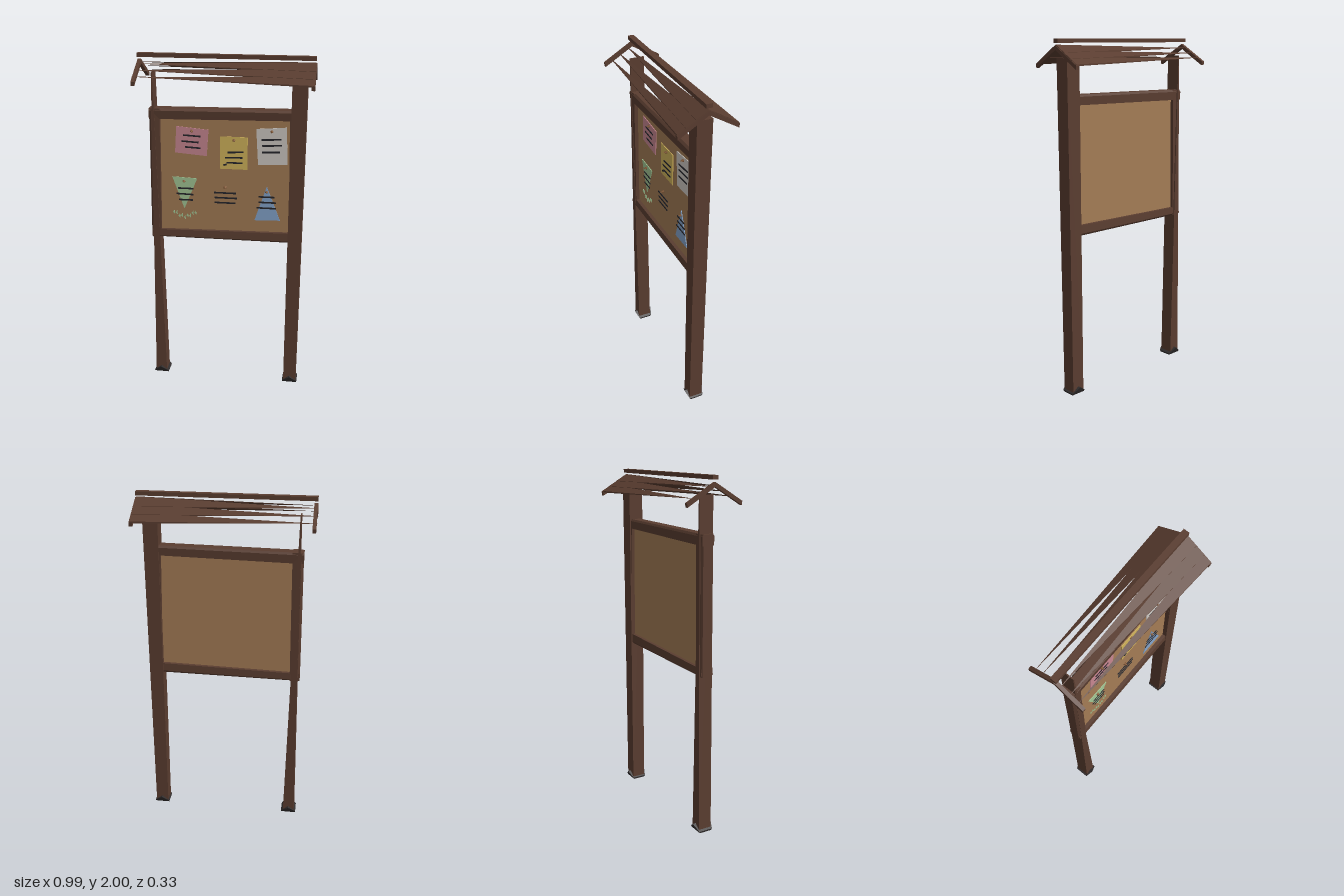
import * as THREE from 'three';
import { ConvexGeometry } from 'three/addons/geometries/ConvexGeometry.js';

const mat = (name, color, side = THREE.FrontSide) => {
  const m = new THREE.MeshStandardMaterial({ color, side });
  m.name = name;
  return m;
};

export function createModel() {
  const root = new THREE.Group();
  root.name = 'noticeBoard';
  const wood = mat('darkWood', 0x5a3d30);
  const cork = mat('cork', 0xa47c55);
  const iron = mat('darkIron', 0x322e2e);
  const pink = mat('pinkPaper', 0xc98791);
  const yellow = mat('yellowPaper', 0xd2b45c);
  const white = mat('whitePaper', 0xcfcac4);
  const green = mat('greenPaper', 0xa3c795);
  const blue = mat('bluePaper', 0x85a5cc);
  const ink = mat('ink', 0x24242a);
  const copper = mat('copperPin', 0x8a5f3c);

  const add = (name, geo, material, parent = root) => {
    const mesh = new THREE.Mesh(geo, material);
    mesh.name = name;
    parent.add(mesh);
    return mesh;
  };
  const group = (name) => {
    const g = new THREE.Group();
    g.name = name;
    root.add(g);
    return g;
  };
  // Flat-faced solid around a few corner points
  const hull = (name, points, material, parent) =>
    add(name, new ConvexGeometry(points.map((p) => new THREE.Vector3(...p))), material, parent);
  // Rectangle of corners at height y
  const ring = (x0, x1, y, z) => [[x0, y, -z], [x1, y, -z], [x1, y, z], [x0, y, z]];

  // Posts: the right one tapers to a thin blade, the left one stays square
  hull('rightPost', [...ring(-0.44, -0.372, 0.01, 0.04), ...ring(-0.408, -0.402, 1.9, 0.042)], wood);
  hull('leftPost', [...ring(0.37, 0.445, 0.01, 0.04), ...ring(0.368, 0.452, 1.9, 0.043)], wood);

  // Pointed iron shoes under the posts
  for (const [name, x] of [['rightShoe', -0.405], ['leftShoe', 0.408]]) {
    hull(name, [
      ...ring(x - 0.043, x + 0.043, 0, 0.038),
      ...ring(x - 0.045, x + 0.045, 0.01, 0.043),
      [x, 0.045, 0.06], [x, 0.045, -0.06],
    ], iron);
  }

  // Cork panel
  add('corkPanel', new THREE.BoxGeometry(0.78, 0.7, 0.03), cork).position.set(-0.005, 1.315, 0);

  // Frame bars, chamfered on the outer edges; inner and outer lines are slightly uneven
  const frame = group('frame');
  const section = (inner, outer, place) => {
    const c = outer + (inner - outer) * 0.2;
    return [[inner, 0.036], [c, 0.04], [outer, 0.028], [outer, -0.028], [c, -0.036], [inner, -0.034]]
      .map(([v, z]) => place(v, z));
  };
  const rail = (name, x0, in0, out0, x1, in1, out1) => hull(name, [
    ...section(in0, out0, (v, z) => [x0, v, z]),
    ...section(in1, out1, (v, z) => [x1, v, z]),
  ], wood, frame);
  const stile = (name, y0, in0, out0, y1, in1, out1) => hull(name, [
    ...section(in0, out0, (v, z) => [v, y0, z]),
    ...section(in1, out1, (v, z) => [v, y1, z]),
  ], wood, frame);
  rail('topRail', -0.43, 1.64, 1.7, 0.44, 1.655, 1.71);
  rail('bottomRail', -0.435, 0.977, 0.93, 0.44, 0.995, 0.935);
  stile('rightStile', 0.93, -0.38, -0.437, 1.7, -0.368, -0.428);
  stile('leftStile', 0.935, 0.375, 0.437, 1.7, 0.36, 0.442);

  // Roof: wedge-shaped planks on both slopes
  const roof = group('roof');
  const slopeY = (z) => 1.965 - 0.56 * Math.abs(z);
  const planks = [[0.13, 0.102, 0.164], [0.082, 0.049, 0.12], [0.031, 0, 0.068]];
  for (const side of [1, -1]) {
    planks.forEach(([tip, inner, outer], i) => {
      const lift = 0.002 * i;
      const pts = [];
      for (const t of [0, -0.009]) {
        pts.push([0.49, slopeY(inner) + lift + t, side * inner]);
        pts.push([0.49, slopeY(outer) + lift + t, side * outer]);
      }
      pts.push([-0.497, slopeY(tip) - 0.003, side * tip]);
      hull('roofPlank', pts, wood, roof);
    });
  }

  // Chevron boards closing both gable ends
  const chevron = new THREE.Shape([
    [0, 1.966], [0.166, 1.868], [0.163, 1.846], [0, 1.942], [-0.163, 1.846], [-0.166, 1.868],
  ].map((p) => new THREE.Vector2(...p)));
  for (const x of [-0.48, 0.484]) {
    const geo = new THREE.ExtrudeGeometry(chevron, { depth: 0.02, bevelEnabled: false });
    geo.translate(0, 0, -0.01).rotateY(Math.PI / 2);
    add('gableBoard', geo, wood, roof).position.x = x;
  }
  add('ridgeBeam', new THREE.BoxGeometry(0.98, 0.022, 0.034), wood, roof).position.set(0, 1.989, 0);

  // Notices: thin plates with ink lines and a pin
  const notices = group('notices');
  const paper = (name, corners, material) => {
    const shape = new THREE.Shape(corners.map((p) => new THREE.Vector2(...p)));
    const geo = new THREE.ExtrudeGeometry(shape, { depth: 0.004, bevelEnabled: false });
    add(name, geo, material, notices).position.z = 0.016;
  };
  paper('pinkNotice', [[-0.288, 1.447], [-0.105, 1.433], [-0.094, 1.585], [-0.278, 1.6]], pink);
  paper('yellowNotice', [[-0.028, 1.362], [0.128, 1.362], [0.128, 1.55], [-0.028, 1.55]], yellow);
  paper('whiteNotice', [[0.188, 1.395], [0.354, 1.402], [0.344, 1.613], [0.175, 1.6]], white);
  paper('greenNotice', [[-0.308, 1.303], [-0.24, 1.11], [-0.162, 1.297]], green);
  paper('blueNotice', [[0.172, 1.06], [0.32, 1.065], [0.24, 1.267]], blue);

  // Torn scraps below the green notice
  for (let i = 0; i < 9; i++) {
    const x = -0.31 + i * 0.016;
    const y = 1.085 - 0.03 * Math.sin(i * 0.4) + (i % 2) * 0.01;
    paper('greenScrap', [[x, y], [x + 0.012, y - 0.012], [x + 0.01, y + 0.014]], green);
  }

  // Ink lines: centre x, centre y, width, tilt
  const lines = [
    [-0.19, 1.548, 0.1, -0.05], [-0.2, 1.513, 0.1, -0.05], [-0.185, 1.48, 0.09, -0.05],
    [0.06, 1.462, 0.09, 0.05], [0.05, 1.43, 0.1, 0.03], [0.055, 1.4, 0.09, 0], [0, 1.387, 0.02, 0.3],
    [0.26, 1.542, 0.11, 0.05], [0.265, 1.508, 0.11, 0.05], [0.26, 1.47, 0.1, 0.05],
    [-0.23, 1.235, 0.09, 0], [-0.235, 1.2, 0.1, -0.03], [-0.23, 1.165, 0.08, 0],
    [0, 1.218, 0.13, 0], [0.005, 1.188, 0.13, 0], [0, 1.158, 0.12, 0],
    [0.24, 1.205, 0.09, 0], [0.245, 1.172, 0.1, 0], [0.24, 1.138, 0.11, 0],
  ];
  for (const [x, y, w, tilt] of lines) {
    const line = add('inkLine', new THREE.BoxGeometry(w, 0.009, 0.003), ink, notices);
    line.position.set(x, y, 0.021);
    line.rotation.z = tilt;
  }

  // Pins
  for (const [x, y] of [[-0.19, 1.575], [0.05, 1.53], [0.262, 1.588], [-0.24, 1.278], [0, 1.25], [0.24, 1.235]]) {
    const pin = add('pin', new THREE.ConeGeometry(0.011, 0.022, 5), copper, notices);
    pin.rotation.x = Math.PI / 2;
    pin.position.set(x, y, 0.028);
  }
  return root;
}
